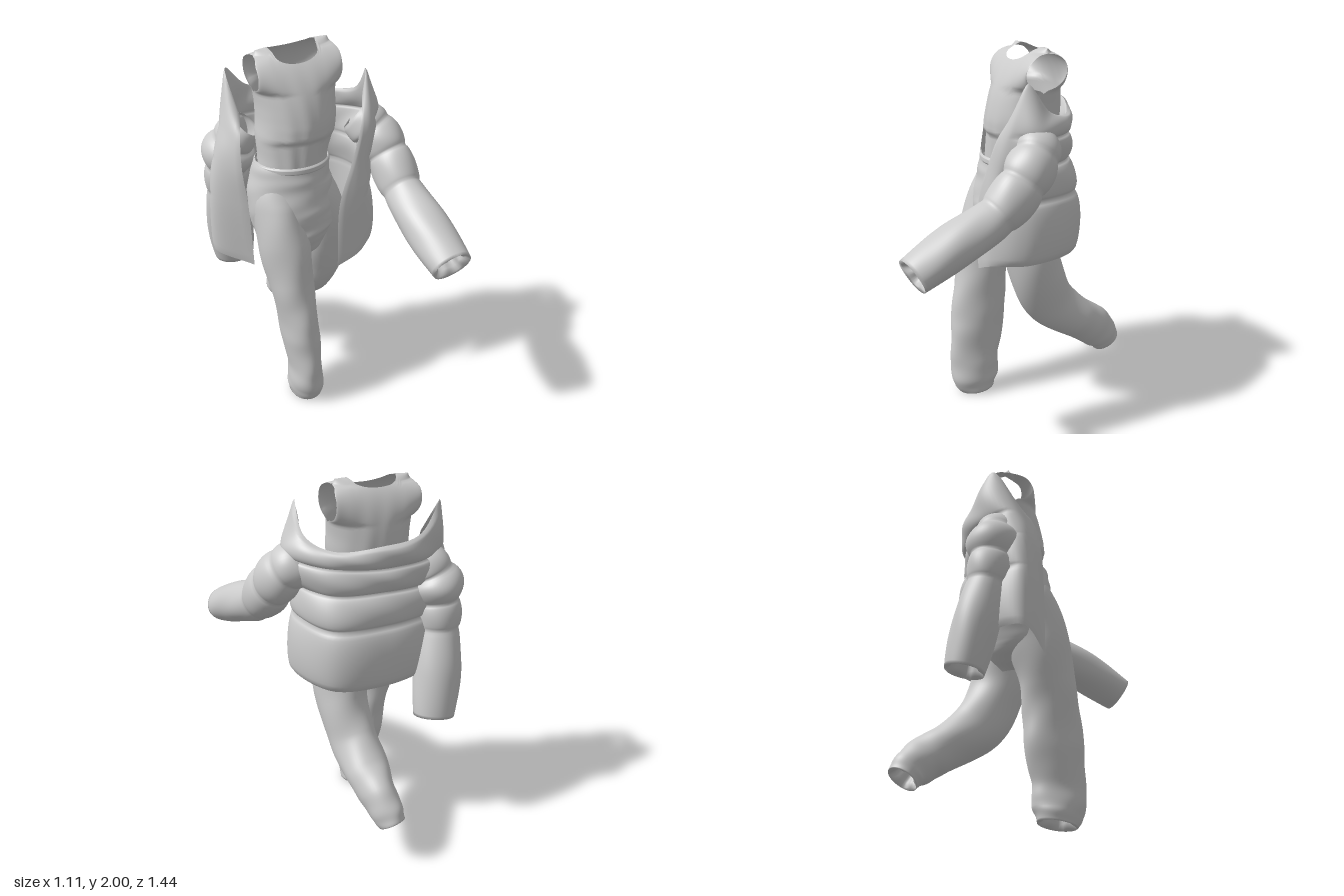
import * as THREE from 'three';
import { mergeVertices } from 'three/addons/utils/BufferGeometryUtils.js';

const material = new THREE.MeshStandardMaterial({ color: 0xcccccc, side: THREE.DoubleSide });
const V = (x, y, z) => new THREE.Vector3(x, y, z);
const lerp = THREE.MathUtils.lerp;
const smooth = THREE.MathUtils.smoothstep;

// Smooth surface from a rule fn(u, v) -> Vector3
function grid(nu, nv, fn) {
  const pos = [], idx = [];
  for (let j = 0; j <= nv; j++)
    for (let i = 0; i <= nu; i++) pos.push(...fn(i / nu, j / nv).toArray());
  for (let j = 0; j < nv; j++)
    for (let i = 0; i < nu; i++) {
      const a = j * (nu + 1) + i, b = a + nu + 1;
      idx.push(a, a + 1, b + 1, a, b + 1, b);
    }
  let g = new THREE.BufferGeometry();
  g.setAttribute('position', new THREE.Float32BufferAttribute(pos, 3));
  g.setIndex(idx);
  g = mergeVertices(g, 1e-5);
  g.computeVertexNormals();
  return g;
}

function add(group, name, geometry) {
  const mesh = new THREE.Mesh(geometry, material);
  mesh.name = name;
  group.add(mesh);
}

// Quilted bulge between stitched seams: 0 on a seam, 1 between
function quilt(t, seams) {
  for (let i = 0; i < seams.length - 1; i++)
    if (t <= seams[i + 1]) {
      const f = (t - seams[i]) / (seams[i + 1] - seams[i]);
      return Math.pow(Math.max(0, Math.sin(Math.PI * f)), 0.45);
    }
  return 0;
}

// Fabric tube through stations [x, y, z, half width, half depth];
// the open end is tucked inward when hem is true
function sweep(stations, shape, hem = true) {
  const path = new THREE.CatmullRomCurve3(stations.map(s => V(s[0], s[1], s[2])));
  const size = new THREE.CatmullRomCurve3(stations.map(s => V(s[3], s[4], 0)));
  const nv = 72, tuck = hem ? [[0.85, 0.008], [0.68, 0.03], [0.6, 0.09]] : [];
  const total = nv + tuck.length;
  return grid(44, total, (u, v) => {
    const k = Math.round(v * total), t = Math.min(1, k / nv), a = u * Math.PI * 2;
    const c = path.getPoint(t), T = path.getTangent(t), r = size.getPoint(t);
    const side = V(1, 0, 0).addScaledVector(T, -T.x).normalize();
    const up = T.clone().cross(side);
    let f = shape(a, t);
    if (k > nv) {
      const [scale, back] = tuck[k - nv - 1];
      f *= scale * (1 + 0.12 * Math.sin(5 * a));
      c.addScaledVector(T, -back);
    }
    return c.addScaledVector(side, Math.cos(a) * r.x * f).addScaledVector(up, Math.sin(a) * r.y * f);
  });
}

const wrinkles = (phase, amount) => (a, t) => 1 + amount * (
  Math.sin(2 * a + 19 * t + phase) + 0.7 * Math.sin(3 * a - 31 * t + 2 * phase) +
  0.6 * Math.sin(a + 58 * t + phase) * smooth(t, 0.3, 1));

const sleeveShape = seams => (a, t) =>
  0.84 + 0.18 * quilt(t, seams) + 0.012 * Math.sin(4 * a + 22 * t);

// Half of the sleeveless top: s = 1 front, s = -1 back
function topPanel(s) {
  return grid(40, 56, (p, q) => {
    const u = Math.sin((p - 0.5) * Math.PI) * s;
    const dip = Math.abs(u) < 0.6 ? (s > 0 ? 0.07 : 0.035) * Math.sqrt(1 - (u / 0.6) ** 2) : 0;
    const y = lerp(1.36, 2 - dip, Math.sin(q * Math.PI / 2));
    const h = (y - 1.36) / 0.64;
    // depth closes over the shoulder; the armhole keeps the side edge open
    let D = y > 1.6 ? 0.195 * Math.sqrt(Math.max(0, 1 - ((y - 1.6) / 0.4) ** 2)) : lerp(0.17, 0.195, (y - 1.36) / 0.24);
    const overhang = smooth(y, 1.5 + 0.02 * (1 - u * u), 1.54);
    D -= 0.022 * (1 - overhang);
    const e = Math.max(0, Math.min(D - 0.012, 0.115 * Math.sqrt(Math.max(0, 1 - ((y - 1.88) / 0.095) ** 2))));
    const W = lerp(0.19, 0.215, smooth(y, 1.4, 1.56)) + 0.014 * smooth(y, 1.68, 1.86) - 0.03 * smooth(y, 1.94, 2);
    const x = lerp(-0.095, -0.06, smooth(y, 1.36, 1.65)) + W * u;
    const z = lerp(-0.11, -0.195, h) + s * (e + (D - e) * Math.sqrt(Math.max(0, 1 - u * u)));
    const fold = s * 0.004 * Math.sin(14 * u + 9 * y) * (1 - u * u) * (1 - h);
    return V(x, y + 0.012 * (u - 1) * smooth(y, 1.7, 2), z + fold);
  });
}

// Jacket seam lines, hem to collar, each from the left front edge round the back
const jacketRows = [
  [[0.05, 0.82, 0.16], [0.19, 0.88, 0.15], [0.31, 0.9, -0.02], [0.2, 0.9, -0.33], [-0.09, 0.9, -0.38], [-0.35, 0.91, -0.32], [-0.53, 0.89, -0.18], [-0.36, 0.83, -0.02]],
  [[0.06, 1.2, 0.16], [0.21, 1.22, 0.13], [0.29, 1.24, -0.05], [0.2, 1.24, -0.32], [-0.08, 1.24, -0.365], [-0.33, 1.24, -0.32], [-0.52, 1.22, -0.18], [-0.38, 1.2, -0.03]],
  [[0.13, 1.4, 0.14], [0.23, 1.4, 0.1], [0.28, 1.42, -0.06], [0.19, 1.42, -0.28], [-0.08, 1.42, -0.34], [-0.32, 1.42, -0.32], [-0.49, 1.42, -0.19], [-0.4, 1.4, -0.05]],
  [[0.2, 1.59, 0.1], [0.28, 1.6, 0.06], [0.35, 1.59, -0.06], [0.21, 1.57, -0.27], [-0.06, 1.56, -0.35], [-0.29, 1.57, -0.35], [-0.44, 1.58, -0.22], [-0.39, 1.57, -0.09]],
  [[0.25, 1.73, 0.01], [0.28, 1.86, -0.02], [0.28, 1.71, -0.14], [0.18, 1.66, -0.28], [-0.04, 1.69, -0.38], [-0.24, 1.72, -0.38], [-0.38, 1.86, -0.31], [-0.36, 1.64, -0.16]],
].map(row => new THREE.CatmullRomCurve3(row.map(p => V(...p))));

function jacketPoint(u, v) {
  return new THREE.CatmullRomCurve3(jacketRows.map(c => c.getPoint(u))).getPoint(v);
}

// Outer shell (out = 1) or lining (out = -1), meeting along the edges;
// the seams fade out into smooth front panels
function jacketShell(out) {
  const seams = [0, 0.25, 0.5, 0.75, 1], d = 0.004;
  return grid(72, 64, (u, v) => {
    const u0 = Math.max(0, u - d), u1 = Math.min(1, u + d);
    const v0 = Math.max(0, v - d), v1 = Math.min(1, v + d);
    const n = jacketPoint(u1, v).sub(jacketPoint(u0, v))
      .cross(jacketPoint(u, v1).sub(jacketPoint(u, v0))).normalize();
    const rim = Math.pow(Math.max(0, Math.sin(Math.PI * u)), 0.35);
    const crease = (0.003 + 0.006 * v) * Math.sin(34 * u + 6 * v) * Math.sin(9 * v + 8 * u);
    const panel = 0.7 * Math.pow(Math.max(0, Math.sin(Math.PI * v)), 0.45);
    const fill = lerp(panel, quilt(v, seams), smooth(Math.min(u, 1 - u), 0.12, 0.24));
    return jacketPoint(u, v).addScaledVector(n, out * rim * fill * ((out > 0 ? 0.037 : 0.014) + crease));
  });
}

export function createModel() {
  const model = new THREE.Group();
  model.name = 'walkingOutfit';

  // Sleeveless top
  const top = new THREE.Group();
  top.name = 'sleevelessTop';
  add(top, 'topFront', topPanel(1));
  add(top, 'topBack', topPanel(-1));

  // Trousers
  const trousers = new THREE.Group();
  trousers.name = 'trousers';
  add(trousers, 'hips', sweep([
    [-0.1, 1.385, -0.11, 0.2, 0.17], [-0.11, 1.28, -0.11, 0.225, 0.187], [-0.11, 1.13, -0.1, 0.238, 0.205],
    [-0.085, 0.98, -0.08, 0.22, 0.19], [-0.05, 0.86, -0.06, 0.09, 0.11]], wrinkles(1, 0.01), false));
  add(trousers, 'waistband', sweep([
    [-0.1, 1.4, -0.11, 0.198, 0.166], [-0.1, 1.39, -0.11, 0.206, 0.176], [-0.1, 1.372, -0.11, 0.206, 0.177],
    [-0.1, 1.362, -0.11, 0.2, 0.17]], () => 1, false));
  add(trousers, 'rightLeg', sweep([
    [-0.18, 1.33, -0.1, 0.1, 0.13], [-0.2, 1.15, -0.065, 0.14, 0.16], [-0.197, 0.95, -0.003, 0.138, 0.165],
    [-0.18, 0.75, 0.045, 0.12, 0.15], [-0.16, 0.58, 0.07, 0.108, 0.15], [-0.147, 0.4, 0.09, 0.1, 0.158],
    [-0.13, 0.22, 0.115, 0.086, 0.142], [-0.125, 0.09, 0.115, 0.096, 0.135], [-0.125, 0.01, 0.105, 0.085, 0.105]],
    wrinkles(0.6, 0.02)));
  add(trousers, 'leftLeg', sweep([
    [-0.02, 1.33, -0.12, 0.09, 0.13], [0.03, 1.15, -0.12, 0.13, 0.17], [0.075, 0.95, -0.13, 0.15, 0.158],
    [0.09, 0.75, -0.17, 0.14, 0.148], [0.07, 0.56, -0.27, 0.127, 0.14], [0.055, 0.44, -0.42, 0.12, 0.122],
    [0.045, 0.355, -0.54, 0.1, 0.115], [0.025, 0.28, -0.62, 0.085, 0.1], [0.01, 0.225, -0.655, 0.07, 0.085]],
    wrinkles(2.2, 0.022)));

  // Open quilted jacket
  const jacket = new THREE.Group();
  jacket.name = 'quiltedJacket';
  add(jacket, 'jacketShell', jacketShell(1));
  add(jacket, 'jacketLining', jacketShell(-1));
  add(jacket, 'leftSleeve', sweep([
    [0.26, 1.57, -0.1, 0.1, 0.11], [0.335, 1.5, -0.04, 0.125, 0.13], [0.385, 1.385, 0.05, 0.12, 0.135],
    [0.403, 1.24, 0.2, 0.115, 0.12], [0.425, 1.125, 0.44, 0.123, 0.112], [0.455, 1.01, 0.67, 0.12, 0.105]],
    sleeveShape([0, 0.2, 0.4, 0.6, 1.03])));
  add(jacket, 'rightSleeve', sweep([
    [-0.3, 1.56, -0.24, 0.09, 0.1], [-0.37, 1.46, -0.28, 0.12, 0.125], [-0.395, 1.31, -0.31, 0.12, 0.125],
    [-0.395, 1.16, -0.335, 0.115, 0.115], [-0.37, 0.93, -0.385, 0.125, 0.118], [-0.335, 0.69, -0.43, 0.122, 0.11]],
    sleeveShape([0, 0.2, 0.4, 0.6, 1.03])));

  model.add(top, trousers, jacket);
  return model;
}
